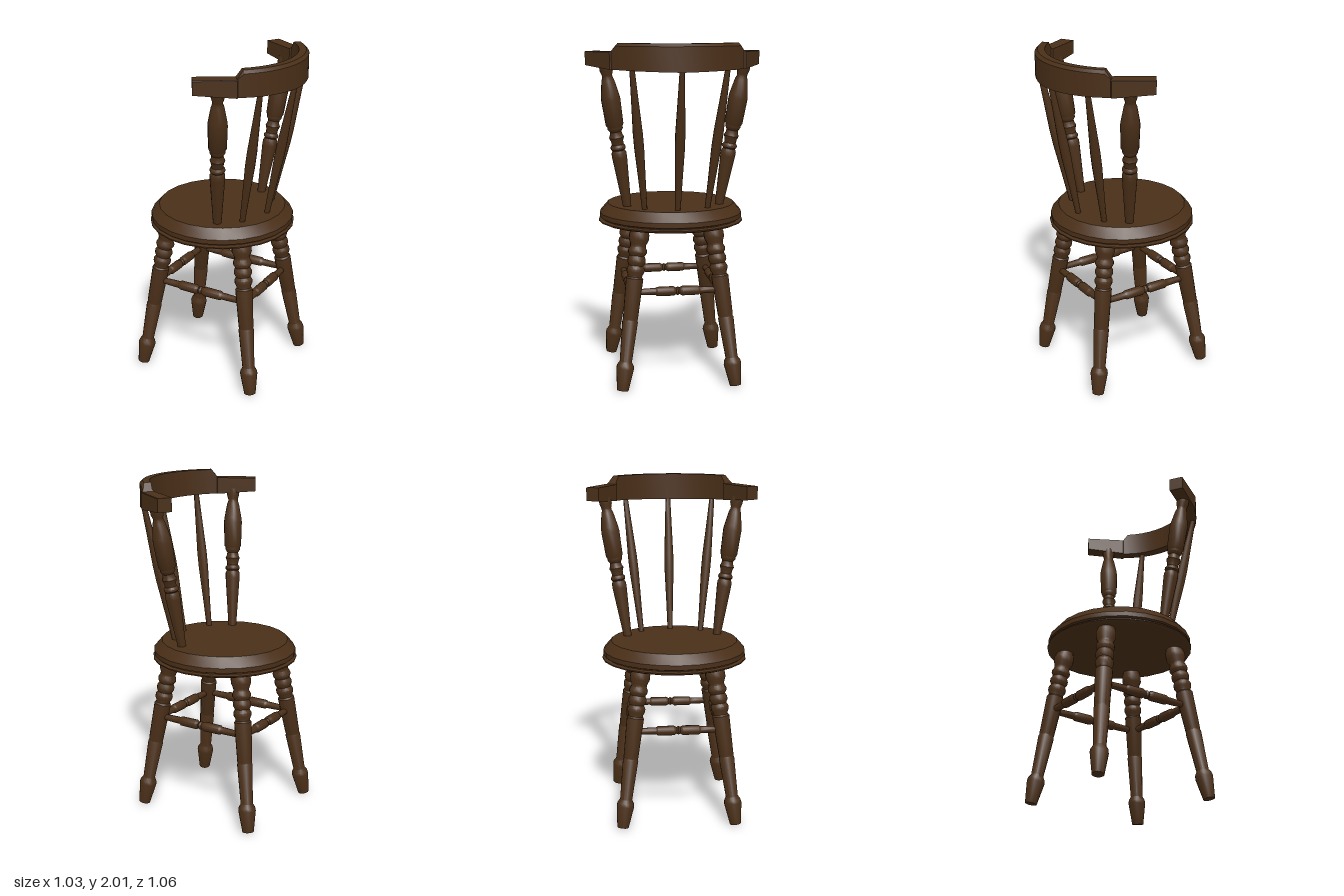
import * as THREE from 'three';
import { toCreasedNormals } from 'three/addons/utils/BufferGeometryUtils.js';

const wood = new THREE.MeshStandardMaterial({ color: 0x4a2f18, roughness: 0.8 });
const UP = new THREE.Vector3(0, 1, 0);

// Lathe turned from [radius, height] pairs
function turned(profile, sides) {
  const pts = profile.map(([r, y]) => new THREE.Vector2(r, y));
  return toCreasedNormals(new THREE.LatheGeometry(pts, sides), 0.65);
}

// Turned rod from a to b; profile heights are fractions of the length
function rod(name, a, b, profile, sides = 14) {
  const from = new THREE.Vector3(...a), dir = new THREE.Vector3(...b).sub(from);
  const len = dir.length();
  const closed = [[0, profile[0][1]], ...profile, [0, profile[profile.length - 1][1]]];
  const mesh = new THREE.Mesh(turned(closed.map(([r, t]) => [r, t * len]), sides), wood);
  mesh.name = name;
  mesh.position.copy(from);
  mesh.quaternion.setFromUnitVectors(UP, dir.normalize());
  return mesh;
}

// Turning profiles, written as [radius, fraction]
const legProfile = [
  [0.034, 0], [0.052, 0.135], [0.049, 0.155], [0.036, 0.178], [0.046, 0.425], [0.042, 0.435],
  [0.044, 0.445], [0.051, 0.69], [0.043, 0.70], [0.043, 0.71], [0.052, 0.73], [0.053, 0.75],
  [0.043, 0.77], [0.053, 0.79], [0.053, 0.81], [0.044, 0.83], [0.055, 0.85], [0.055, 0.865],
  [0.046, 0.885], [0.047, 0.90], [0.059, 0.93], [0.059, 0.96], [0.048, 1],
];
const stretcherProfile = [
  [0.017, 0], [0.021, 0.2], [0.021, 0.25], [0.028, 0.27], [0.029, 0.45], [0.02, 0.48],
  [0.026, 0.5], [0.02, 0.52], [0.029, 0.55], [0.028, 0.73], [0.021, 0.75], [0.021, 0.8], [0.017, 1],
];
const postProfile = [
  [0.024, 0], [0.044, 0.36], [0.044, 0.39], [0.036, 0.41], [0.044, 0.42], [0.044, 0.435],
  [0.034, 0.45], [0.036, 0.475], [0.044, 0.50], [0.036, 0.52], [0.034, 0.54], [0.045, 0.56],
  [0.045, 0.575], [0.052, 0.59], [0.056, 0.76], [0.053, 0.79], [0.037, 0.89], [0.030, 0.91],
  [0.030, 0.925], [0.038, 0.955], [0.038, 1],
];
const spindleProfile = [
  [0.016, 0], [0.021, 0.2], [0.029, 0.45], [0.029, 0.56], [0.021, 0.8], [0.015, 1],
];

// Curved crest rail with straight arm ends and a raised middle
function crestGeometry() {
  const R = 0.447, cz = -0.02, edge = 0.925;
  const ring = (x, z, a, half, bottom, top, chamfer) => {
    const section = [[half, bottom], [half, top - chamfer], [half - chamfer, top], [-half, top], [-half, bottom]];
    return section.map(([d, y]) => [x + d * Math.sin(a), y, z - d * Math.cos(a)]);
  };
  const onArc = (a, half, bottom, top, ch) => ring(R * Math.sin(a), cz - R * Math.cos(a), a, half, bottom, top, ch);
  const armEnd = (s) => ring(s * 0.476, -0.084, s * 1.01, 0.042, 1.87, 1.95, 0.003);
  const armJoint = (s) => onArc(s * edge, 0.039, 1.852, 1.952, 0.003);
  const step = (s) => onArc(s * (edge - 0.01), 0.029, 1.852, 1.96, 0.003);
  const rings = [armEnd(1), armJoint(1), step(1)];
  const n = 14, span = edge - 0.08;
  for (let i = 0; i <= n; i++) {
    const a = span * (1 - 2 * i / n);
    rings.push(onArc(a, 0.029, 1.842 + 0.01 * Math.abs(a / span), 2, 0.017));
  }
  rings.push(step(-1), armJoint(-1), armEnd(-1));

  const m = 5, index = [];
  for (let i = 0; i < rings.length - 1; i++) {
    for (let j = 0; j < m; j++) {
      const k = (j + 1) % m, a = i * m + j, b = i * m + k;
      index.push(a, a + m, b, b, a + m, b + m);
    }
  }
  const last = (rings.length - 1) * m;
  for (let j = 1; j < m - 1; j++) {
    index.push(0, j, j + 1);
    index.push(last, last + j + 1, last + j);
  }
  const geo = new THREE.BufferGeometry();
  geo.setAttribute('position', new THREE.Float32BufferAttribute(rings.flat(2), 3));
  geo.setIndex(index);
  geo.computeVertexNormals();
  return toCreasedNormals(geo, 0.4);
}

export function createModel() {
  const model = new THREE.Group();
  model.name = 'chair';
  const chair = new THREE.Group();
  chair.name = 'turnedChair';
  model.add(chair);

  // Round seat with a grooved rim and bevelled top
  const seat = new THREE.Mesh(turned([
    [0, 0.93], [0.415, 0.93], [0.434, 0.938], [0.434, 0.945], [0.412, 0.951], [0.412, 0.956],
    [0.428, 0.962], [0.428, 0.99], [0.38, 1.045], [0, 1.045],
  ], 24), wood);
  seat.name = 'seat';
  chair.add(seat);

  // Splayed legs, with stretchers joining neighbours
  for (const s of [1, -1]) {
    for (const f of [1, -1]) {
      chair.add(rod(f > 0 ? 'frontLeg' : 'backLeg', [s * 0.335, 0, f * 0.381], [s * 0.214, 0.935, f * 0.247], legProfile));
    }
    chair.add(rod('sideStretcher', [s * 0.262, 0.565, 0.3], [s * 0.262, 0.565, -0.3], stretcherProfile, 12));
    chair.add(rod(s > 0 ? 'frontStretcher' : 'backStretcher', [-0.262, 0.565, s * 0.3], [0.262, 0.565, s * 0.3], stretcherProfile, 12));

    // Back posts and outer spindles
    chair.add(rod('backPost', [s * 0.274, 1.035, -0.122], [s * 0.402, 1.88, -0.2], postProfile));
    chair.add(rod('outerSpindle', [s * 0.184, 1.035, -0.237], [s * 0.27, 1.86, -0.388], spindleProfile, 10));
  }
  chair.add(rod('middleSpindle', [0, 1.035, -0.302], [0, 1.86, -0.465], spindleProfile, 10));

  const crest = new THREE.Mesh(crestGeometry(), wood);
  crest.name = 'crestRail';
  chair.add(crest);

  // The chair stands turned on its spot
  chair.rotation.y = THREE.MathUtils.degToRad(210);
  return model;
}
